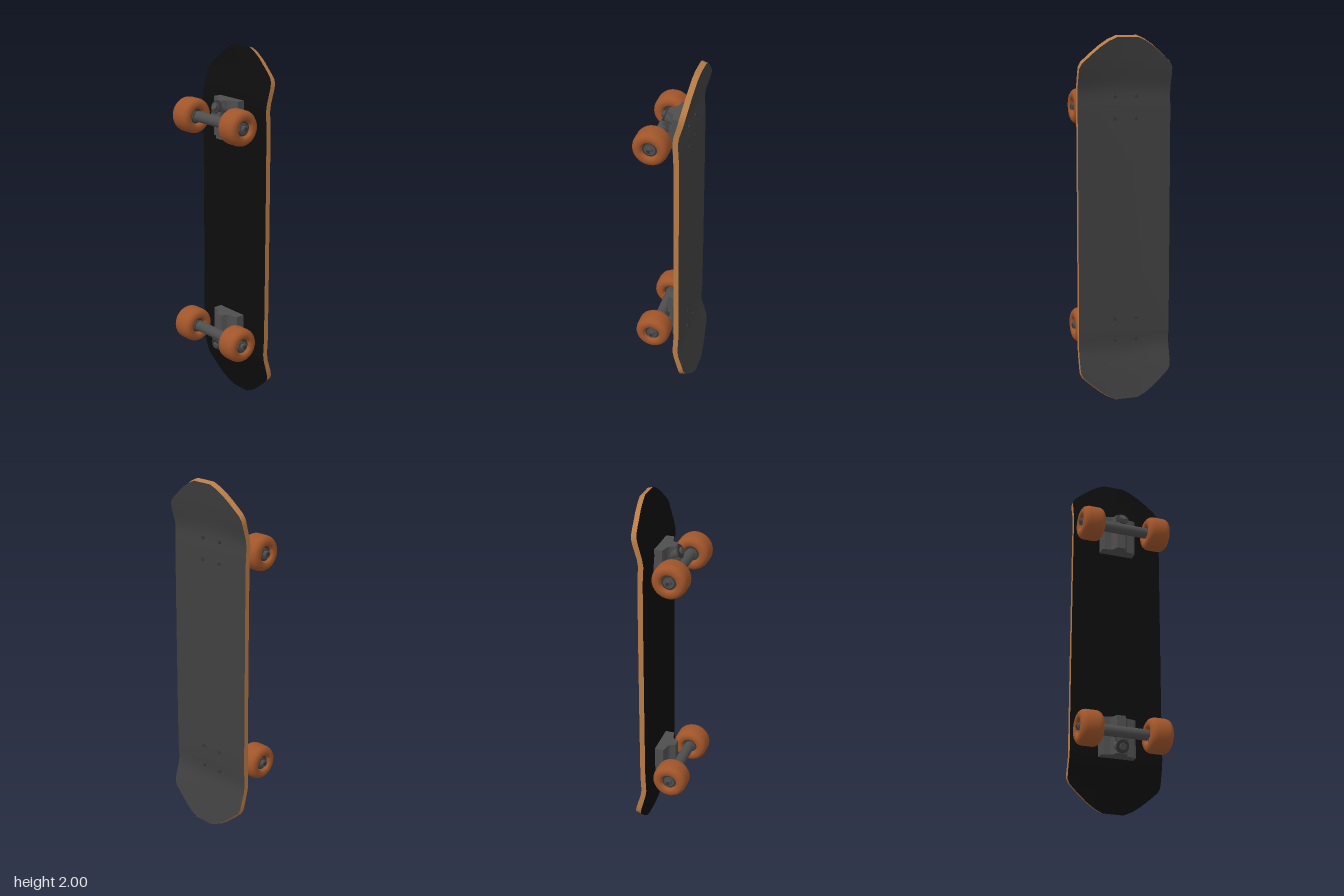
import * as THREE from 'three';
import { toCreasedNormals } from 'three/addons/utils/BufferGeometryUtils.js';

const material = (name, color, side = THREE.FrontSide) =>
  Object.assign(new THREE.MeshStandardMaterial({ color, side }), { name });

function add(parent, name, geometry, mat, x = 0, y = 0, z = 0) {
  const mesh = new THREE.Mesh(geometry, mat);
  mesh.name = name;
  mesh.position.set(x, y, z);
  parent.add(mesh);
  return mesh;
}

// Deck stations: distance from the middle, half width, depth, edge concave
const HALF = [
  [0, 0.26, -0.073, 0.004], [0.3, 0.26, -0.073, 0.004], [0.6, 0.26, -0.072, 0.004],
  [0.65, 0.26, -0.068, 0.005], [0.69, 0.26, -0.065, 0.006], [0.73, 0.26, -0.067, 0.01],
  [0.77, 0.26, -0.075, 0.013], [0.81, 0.26, -0.085, 0.014], [0.84, 0.258, -0.092, 0.014],
  [0.865, 0.245, -0.098, 0.014], [0.89, 0.218, -0.104, 0.014], [0.92, 0.184, -0.11, 0.014],
  [0.95, 0.148, -0.117, 0.014], [0.98, 0.103, -0.123, 0.014], [1, 0.058, -0.128, 0.014],
];
const ROWS = [
  ...HALF.slice(1).reverse().map(([d, ...rest]) => [-d, ...rest]),
  ...HALF,
];
const COLS = 14;
const THICK = 0.029;

function deckPoint(i, j, back) {
  const [d, w, z, concave] = ROWS[i];
  const x = w * (2 * j / COLS - 1);
  const lean = back ? 0.01 * THREE.MathUtils.smoothstep(Math.abs(d), 0.7, 0.85) : 0;
  return [x, 1 + d - Math.sign(d) * lean, z - concave * (x / 0.26) ** 2 - (back ? THICK : 0)];
}

function indexed(points, index) {
  const g = new THREE.BufferGeometry();
  g.setAttribute('position', new THREE.Float32BufferAttribute(points.flat(), 3));
  g.setIndex(index);
  g.computeVertexNormals();
  return g;
}

function deckFace(back) {
  const points = [], index = [], n = COLS + 1;
  for (let i = 0; i < ROWS.length; i++) {
    for (let j = 0; j <= COLS; j++) {
      points.push(deckPoint(i, j, back));
      if (i === ROWS.length - 1 || j === COLS) continue;
      const a = i * n + j, b = a + 1, c = b + n, d = a + n;
      index.push(...(back ? [a, c, b, a, d, c] : [a, b, c, a, c, d]));
    }
  }
  return indexed(points, index);
}

function deckRim() {
  const loop = [], last = ROWS.length - 1;
  for (let j = 0; j < COLS; j++) loop.push([0, j]);
  for (let i = 0; i < last; i++) loop.push([i, COLS]);
  for (let j = COLS; j > 0; j--) loop.push([last, j]);
  for (let i = last; i > 0; i--) loop.push([i, 0]);
  const points = loop.flatMap(([i, j]) => [deckPoint(i, j, false), deckPoint(i, j, true)]);
  const index = [];
  for (let k = 0; k < loop.length; k++) {
    const p = 2 * k, q = 2 * ((k + 1) % loop.length);
    index.push(p, p + 1, q + 1, p, q + 1, q);
  }
  return toCreasedNormals(indexed(points, index), 0.6);
}

export function createModel() {
  const board = new THREE.Group();
  board.name = 'skateboard';
  const underside = material('black underside', 0x0d0d0d);
  const grip = material('grip grey', 0x404040);
  const wood = material('maple wood', 0xb87b45);
  const rubber = material('orange wheel', 0xa0552a);
  const metal = material('truck grey', 0x4e4e4e);
  const dark = material('dark steel', 0x363636);

  // Deck
  add(board, 'deckUnderside', deckFace(false), underside);
  add(board, 'gripSurface', deckFace(true), grip);
  add(board, 'deckRim', deckRim(), wood);

  // Truck base: stepped section run along the board
  const section = [[0.098, -0.078], [0.098, -0.024], [0.085, -0.018], [0.048, -0.012],
    [0.036, -0.002], [0.024, 0.026]];
  const outline = [...section, ...section.slice().reverse().map(([x, z]) => [-x, z])];
  const baseGeometry = new THREE.ExtrudeGeometry(
    new THREE.Shape(outline.map(([x, z]) => new THREE.Vector2(x, z))),
    { depth: 0.213, bevelEnabled: false });
  baseGeometry.rotateX(Math.PI / 2).translate(0, 0.108, 0);

  // Wheel section, rounded at the tread shoulders
  const side = [[0.04, 0.04], [0.046, 0.058], [0.052, 0.0625], [0.074, 0.0625],
    [0.086, 0.054], [0.093, 0.043], [0.096, 0.03]];
  const wheelProfile = [...side.map(([r, h]) => [r, -h]), ...side.slice().reverse()];
  const wheelGeometry = toCreasedNormals(new THREE.LatheGeometry(
    wheelProfile.map(([r, h]) => new THREE.Vector2(r, h)), 32), 0.7).rotateZ(-Math.PI / 2);
  const rod = (r, length, sides = 24) =>
    new THREE.CylinderGeometry(r, r, length, sides).rotateZ(Math.PI / 2);

  function makeTruck(name, y, turn) {
    const truck = new THREE.Group();
    truck.name = name;
    truck.position.set(-0.007, y, 0);
    truck.rotation.z = turn;
    board.add(truck);
    add(truck, 'basePlate', baseGeometry, metal);
    add(truck, 'hanger', rod(0.03, 0.27), metal, 0, 0, 0.055);
    add(truck, 'axle', rod(0.011, 0.52, 12), dark, 0, 0, 0.058);

    // Yoke joining the hanger to the kingpin
    const yoke = add(truck, 'yoke',
      new THREE.CylinderGeometry(0.038, 0.055, 0.06, 4, 1).rotateY(Math.PI / 4), metal, 0, 0.025, 0.035);
    yoke.scale.set(1, 1, 0.55);

    // Kingpin stack, leaning towards the board end
    const kingpin = new THREE.Group();
    kingpin.name = 'kingpin';
    kingpin.position.set(0, 0.068, 0.025);
    kingpin.rotation.x = Math.PI / 2 - 0.35;
    truck.add(kingpin);
    add(kingpin, 'bushing', new THREE.CylinderGeometry(0.034, 0.038, 0.05, 24), metal, 0, -0.01, 0);
    add(kingpin, 'washer', new THREE.CylinderGeometry(0.036, 0.036, 0.008, 24), dark, 0, 0.018, 0);
    add(kingpin, 'kingpinNut', new THREE.CylinderGeometry(0.02, 0.02, 0.014, 6), metal, 0, 0.028, 0);

    for (const s of [-1, 1]) {
      const wheel = new THREE.Group();
      wheel.name = s > 0 ? 'leftWheel' : 'rightWheel';
      wheel.position.set(s * 0.192, 0, 0.058);
      truck.add(wheel);
      add(wheel, 'tyre', wheelGeometry, rubber);
      add(wheel, 'bearing', rod(0.042, 0.084), dark);
      add(wheel, 'bearingCap', rod(0.03, 0.094), metal);
      add(wheel, 'axleNut', rod(0.019, 0.025, 6), metal, s * 0.054, 0, 0);

      // Mounting bolts showing through the grip
      for (const by of [-0.06, 0.06]) {
        const bolt = new THREE.CylinderGeometry(0.01, 0.01, 0.008, 12).rotateX(Math.PI / 2);
        add(truck, 'deckBolt', bolt, dark, s * 0.06, by, -0.101);
      }
    }
  }
  makeTruck('upperTruck', 1.616, 0);
  makeTruck('lowerTruck', 0.393, Math.PI);
  return board;
}
